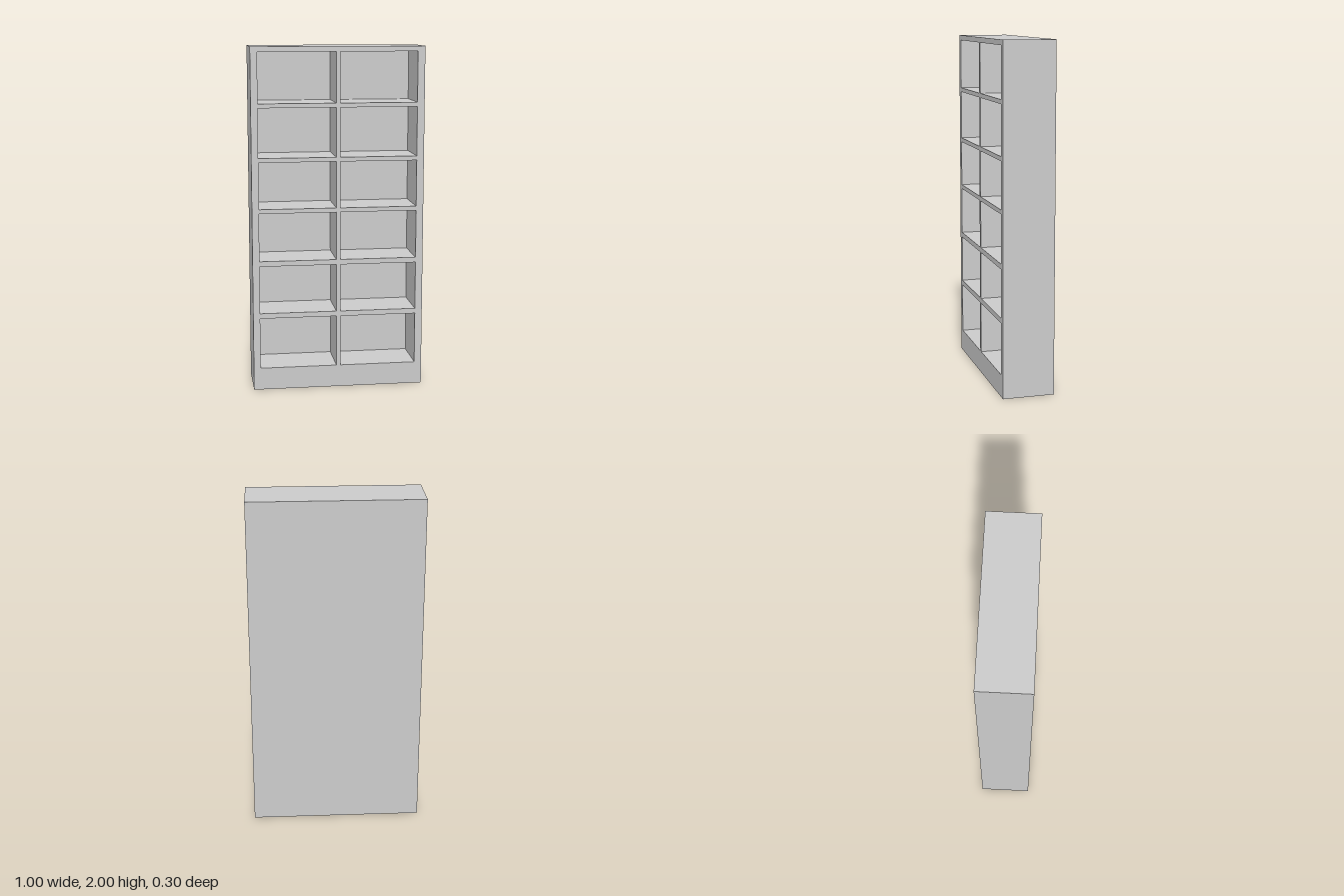
import * as THREE from 'three';

const WIDTH = 1, HEIGHT = 2, DEPTH = 0.3, BACK = 0.03;

// Bottom and top of each row of compartments
const ROWS = [[0.13, 0.43], [0.46, 0.74], [0.77, 1.05], [1.075, 1.345], [1.37, 1.655], [1.68, 1.97]];
// Left and right edge of each column
const COLUMNS = [[-0.46, -0.012], [0.012, 0.458]];

function rectangle(Kind, x0, x1, y0, y1) {
  return new Kind([[x0, y0], [x1, y0], [x1, y1], [x0, y1]].map(([x, y]) => new THREE.Vector2(x, y)));
}

export function createModel() {
  const group = new THREE.Group();
  group.name = 'bookcase';
  const material = new THREE.MeshStandardMaterial({ color: 0xcccccc });

  // Sides, top, plinth, shelves and divider as one pierced block
  const outline = rectangle(THREE.Shape, -WIDTH / 2, WIDTH / 2, 0, HEIGHT);
  for (const [y0, y1] of ROWS) {
    for (const [x0, x1] of COLUMNS) outline.holes.push(rectangle(THREE.Path, x0, x1, y0, y1));
  }
  const shelving = new THREE.Mesh(
    new THREE.ExtrudeGeometry(outline, { depth: DEPTH - BACK, bevelEnabled: false }), material);
  shelving.name = 'shelving';
  shelving.position.z = -DEPTH / 2 + BACK;

  // Solid panel closing the rear of the compartments
  const backPanel = new THREE.Mesh(new THREE.BoxGeometry(WIDTH, HEIGHT, BACK), material);
  backPanel.name = 'backPanel';
  backPanel.position.set(0, HEIGHT / 2, -DEPTH / 2 + BACK / 2);

  group.add(shelving, backPanel);
  return group;
}
